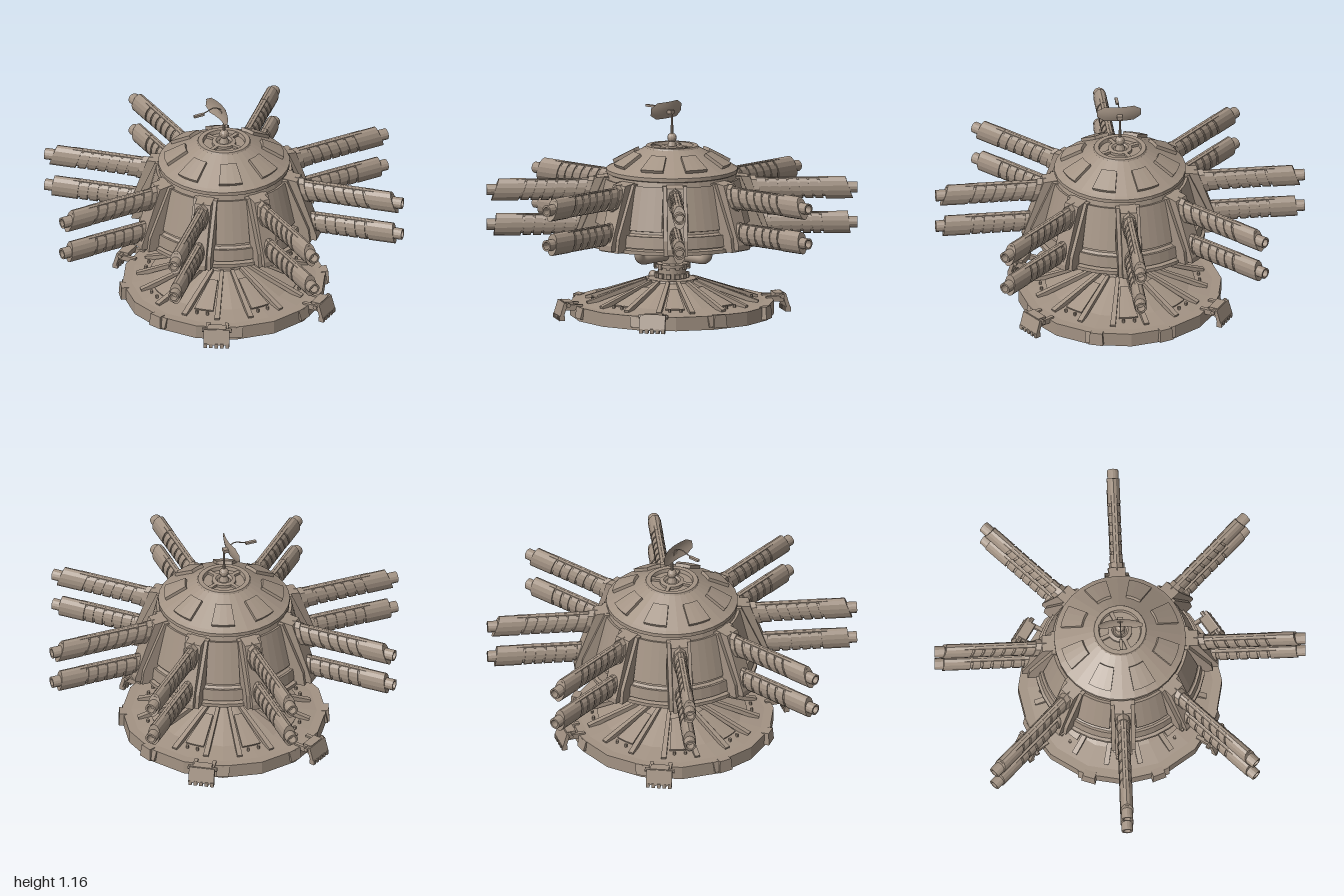
import * as THREE from 'three';

const mat = new THREE.MeshStandardMaterial({ color: 0xa39384, flatShading: true });
const smooth = new THREE.MeshStandardMaterial({ color: 0xa39384 });
const thin = new THREE.MeshStandardMaterial({ color: 0xa39384, side: THREE.DoubleSide });
const TAU = Math.PI * 2;

function add(parent, name, geo, x = 0, y = 0, z = 0, m = mat) {
  const mesh = new THREE.Mesh(geo, m);
  mesh.name = name;
  mesh.position.set(x, y, z);
  parent.add(mesh);
  return mesh;
}
const lathe = (pts, n = 32) => new THREE.LatheGeometry(pts.map(p => new THREE.Vector2(...p)), n);
const box = (w, h, d) => new THREE.BoxGeometry(w, h, d);
const cyl = (rt, rb, h, n = 16) => new THREE.CylinderGeometry(rt, rb, h, n);

// Plate lying on a cone between two [radius, height] points, around angle a
function panel(a, half0, half1, [r0, y0], [r1, y1], thick, segs = 3) {
  const g = new THREE.BoxGeometry(1, 1, 1, segs, 1, 1);
  const p = g.attributes.position, len = Math.hypot(r1 - r0, y1 - y0);
  const nr = (y1 - y0) / len, ny = (r0 - r1) / len;
  for (let i = 0; i < p.count; i++) {
    const t = p.getY(i) + 0.5, off = p.getZ(i) * thick;
    const ang = a + 2 * p.getX(i) * (half0 + (half1 - half0) * t);
    const r = r0 + (r1 - r0) * t + nr * off;
    p.setXYZ(i, r * Math.sin(ang), y0 + (y1 - y0) * t + ny * off, r * Math.cos(ang));
  }
  return g;
}

// Oval sleeve along +z from z0 to z1 with slanted ends
function sleeve(z0, z1, w, h, slant, n = 14) {
  const g = cyl(0.5, 0.5, z1 - z0, n).rotateX(Math.PI / 2).scale(w, h, 1).translate(0, 0, (z0 + z1) / 2);
  const p = g.attributes.position;
  for (let i = 0; i < p.count; i++) p.setZ(i, p.getZ(i) - slant * p.getY(i));
  return g;
}

// Side profile in (radius, height), extruded to a width, facing +z
function fin(pts, width) {
  const s = new THREE.Shape(pts.map(p => new THREE.Vector2(...p)));
  return new THREE.ExtrudeGeometry(s, { depth: width, bevelEnabled: false })
    .translate(0, 0, -width / 2).rotateY(-Math.PI / 2);
}

function makeBase() {
  const g = new THREE.Group();
  g.name = 'base';
  add(g, 'baseShell', lathe([[0, 0.13], [0.15, 0.13], [0.49, 0.025], [0.5, 0], [0.55, 0], [0.55, 0.075],
    [0.5, 0.075], [0.38, 0.09], [0.13, 0.19], [0, 0.19]], 16));
  add(g, 'undersideHub', cyl(0.16, 0.16, 0.02, 24), 0, 0.125, 0);
  add(g, 'undersideRing', new THREE.TorusGeometry(0.1, 0.006, 4, 24).rotateX(Math.PI / 2), 0, 0.115, 0);
  for (let i = 0; i < 16; i++) {
    const a = (i + 0.5) / 16 * TAU;
    add(g, 'baseRib', panel(a, 0.03, 0.07, [0.47, 0.078], [0.14, 0.19], 0.024, 1));
    add(g, 'undersideRib', panel(a, 0.012, 0.04, [0.48, 0.03], [0.16, 0.127], 0.012, 1));
    // Raised deck plates with a bolt pair on every second bay
    if (i % 2) {
      add(g, 'deckPlate', panel(a + TAU / 32, 0.13, 0.11, [0.4, 0.089], [0.2, 0.165], 0.016));
      for (const s of [-1, 1])
        add(g, 'bolt', cyl(0.008, 0.008, 0.02, 6), Math.sin(a + TAU / 32 + s * 0.07) * 0.43, 0.09, Math.cos(a + TAU / 32 + s * 0.07) * 0.43);
    } else {
      add(g, 'rimBracket', panel(a + TAU / 32, 0.06, 0.075, [0.553, 0.015], [0.54, 0.075], 0.018, 1));
    }
  }
  // Toothed anchor feet, in mirrored pairs
  for (const sx of [-1, 1]) for (const sz of [-1, 1]) {
    const foot = new THREE.Group();
    foot.name = 'anchorFoot';
    foot.rotation.y = Math.atan2(0.33 * sx, 0.51 * sz);
    const plate = add(foot, 'footPlate', box(0.14, 0.085, 0.02), 0, 0.055, 0.62);
    plate.rotation.x = -0.3;
    add(foot, 'footBlock', box(0.1, 0.03, 0.05), 0, 0.085, 0.585);
    for (const s of [-1, 1]) {
      add(foot, 'footArm', box(0.02, 0.03, 0.1), 0.05 * s, 0.07, 0.56);
      add(foot, 'footPin', cyl(0.012, 0.012, 0.03, 8).rotateZ(Math.PI / 2), 0.065 * s, 0.085, 0.595);
    }
    for (let k = -2; k <= 2; k++) add(foot, 'footTooth', box(0.018, 0.025, 0.03), 0.03 * k, 0.0125, 0.628);
    g.add(foot);
    for (const da of [-0.44, 0.44]) {
      const a = Math.atan2(sx, sz) + da * sx * sz;
      if (da > 0) add(g, 'rimClamp', panel(a, 0.07, 0.06, [0.55, 0.01], [0.545, 0.08], 0.04, 1));
    }
  }
  return g;
}

function makePedestal() {
  const g = new THREE.Group();
  g.name = 'pedestal';
  add(g, 'column', lathe([[0.14, 0.17], [0.13, 0.2], [0.075, 0.2], [0.075, 0.265], [0.095, 0.265], [0.095, 0.28],
    [0.06, 0.285], [0.06, 0.36], [0.15, 0.365], [0.16, 0.4]], 24));
  for (let i = 0; i < 12; i++) {
    const a = i / 12 * TAU;
    add(g, 'collarTooth', panel(a, 0.13, 0.13, [0.08, 0.205], [0.08, 0.23], 0.03, 1));
    add(g, 'collarLug', panel(a, 0.1, 0.1, [0.092, 0.255], [0.092, 0.285], 0.016, 1));
  }
  add(g, 'valve', new THREE.SphereGeometry(0.025, 12, 8), -0.12, 0.205, 0.02, smooth);
  // Four bent pipes from the column up to the hull
  const path = new THREE.CurvePath();
  const v = (y, z) => new THREE.Vector3(0, y, z);
  path.add(new THREE.LineCurve3(v(0.325, 0.03), v(0.325, 0.21)));
  path.add(new THREE.QuadraticBezierCurve3(v(0.325, 0.21), v(0.325, 0.262), v(0.365, 0.262)));
  path.add(new THREE.LineCurve3(v(0.365, 0.262), v(0.41, 0.262)));
  const pipe = new THREE.TubeGeometry(path, 32, 0.027, 12);
  for (let i = 0; i < 4; i++) add(g, 'supportPipe', pipe, 0, 0, 0, smooth).rotation.y = i * TAU / 4;
  return g;
}

function makeHull() {
  const g = new THREE.Group();
  g.name = 'hull';
  add(g, 'hullShell', lathe([[0, 0.395], [0.46, 0.395], [0.46, 0.415], [0.43, 0.42], [0.425, 0.49],
    [0.41, 0.5], [0.345, 0.775], [0.355, 0.78], [0.355, 0.8], [0.335, 0.81], [0.145, 0.915], [0.14, 0.925],
    [0.115, 0.925], [0.11, 0.905], [0, 0.905]], 32));
  for (let i = 0; i < 8; i++) {
    const a = (i + 0.5) / 8 * TAU;
    add(g, 'sidePanel', panel(a, 0.22, 0.22, [0.412, 0.515], [0.355, 0.75], 0.022, 4));
    add(g, 'skirtPanel', panel(a, 0.25, 0.25, [0.435, 0.425], [0.428, 0.49], 0.02, 4));
    add(g, 'domePanel', panel(a, 0.2, 0.2, [0.318, 0.825], [0.205, 0.887], 0.026));
  }
  add(g, 'topHub', lathe([[0.065, 0.9], [0.065, 0.92], [0.045, 0.925], [0.035, 0.915], [0, 0.915]], 24));
  for (let i = 0; i < 4; i++)
    add(g, 'hubSpoke', panel(i * TAU / 4 + 0.4, 0.1, 0.16, [0.12, 0.912], [0.06, 0.913], 0.014, 1));
  return g;
}

// One gun barrel pointing along +z, centred on height 0
function makeBarrel(name, slant) {
  const g = new THREE.Group();
  g.name = name;
  add(g, 'collar', sleeve(0.4, 0.47, 0.085, 0.14, 0.3, 8));
  add(g, 'core', sleeve(0.4, 0.94, 0.058, 0.098, 0));
  add(g, 'muzzleSleeve', sleeve(0.81, 0.955, 0.07, 0.122, slant));
  add(g, 'rearSleeve', sleeve(0.43, 0.52, 0.07, 0.122, slant));
  for (let k = 0; k < 5; k++) add(g, 'wrapBand', sleeve(0.535 + k * 0.055, 0.578 + k * 0.055, 0.068, 0.118, slant));
  add(g, 'topRail', box(0.03, 0.012, 0.4), 0, 0.051, 0.64);
  add(g, 'muzzle', lathe([[0.02, 0.9], [0.031, 0.9], [0.031, 1], [0.021, 1], [0.021, 0.93], [0, 0.93]], 14)
    .rotateX(Math.PI / 2));
  return g;
}

function makeGunMounts() {
  const g = new THREE.Group();
  g.name = 'gunMounts';
  for (let i = 0; i < 8; i++) {
    const mount = new THREE.Group();
    mount.name = 'gunMount';
    mount.rotation.y = i * TAU / 8;
    add(mount, 'mountHousing', fin([[0.3, 0.41], [0.53, 0.41], [0.53, 0.44], [0.42, 0.755], [0.3, 0.77]], 0.09));
    add(mount, 'mountSkirt', fin([[0.35, 0.4], [0.5, 0.4], [0.49, 0.48], [0.37, 0.76], [0.32, 0.76]], 0.13));
    const upper = makeBarrel('upperBarrel', 0.35);
    upper.position.y = 0.688;
    const lower = makeBarrel('lowerBarrel', 0.12);
    lower.position.y = 0.498;
    mount.add(upper, lower);
    g.add(mount);
  }
  return g;
}

function makeAntenna() {
  const g = new THREE.Group();
  g.name = 'antenna';
  add(g, 'antennaFoot', cyl(0.015, 0.03, 0.04, 10), 0, 0.93, 0);
  add(g, 'antennaJoint', new THREE.SphereGeometry(0.026, 12, 8), 0, 0.965, 0);
  add(g, 'antennaMast', cyl(0.005, 0.008, 0.13, 8), 0, 1.045, 0);
  add(g, 'dishPivot', box(0.03, 0.02, 0.03), -0.01, 1.105, 0);
  // Curved dish with clipped corners
  const dish = new THREE.PlaneGeometry(0.24, 0.09, 12, 4).rotateY(-Math.PI / 2);
  const p = dish.attributes.position;
  for (let i = 0; i < p.count; i++) {
    const z = p.getZ(i), y = p.getY(i) * (1 - Math.max(0, Math.abs(z) - 0.08) * 14);
    p.setXYZ(i, -1.6 * z * z - 4 * y * y + y * 0.1, y, z);
  }
  dish.computeVertexNormals();
  add(g, 'dish', dish, -0.02, 1.113, 0, thin);
  const arm = new THREE.CatmullRomCurve3([[-0.02, 1.12], [-0.06, 1.142], [-0.11, 1.13], [-0.14, 1.122]]
    .map(([x, y]) => new THREE.Vector3(x, y, 0)));
  add(g, 'feedArm', new THREE.TubeGeometry(arm, 12, 0.003, 6));
  add(g, 'feedHorn', box(0.06, 0.012, 0.016), -0.155, 1.121, 0);
  return g;
}

export function createModel() {
  const model = new THREE.Group();
  model.name = 'gunTurretStation';
  model.add(makeBase(), makePedestal(), makeHull(), makeGunMounts(), makeAntenna());
  return model;
}
